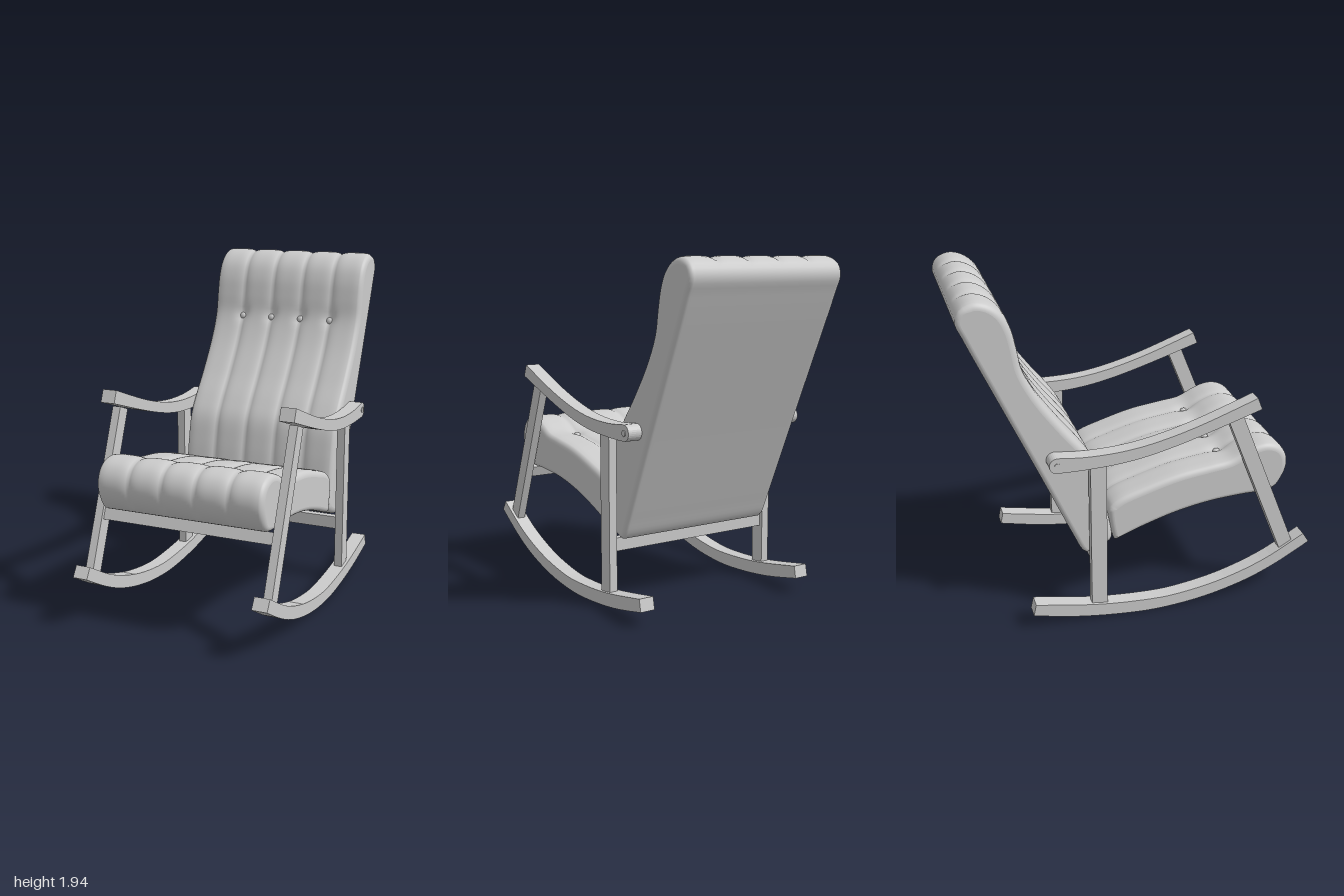
import * as THREE from 'three';

const mat = new THREE.MeshStandardMaterial({ color: 0xcccccc, side: THREE.DoubleSide });
const V = (p) => new THREE.Vector2(p[0], p[1]);

function add(parent, name, geometry) {
  const mesh = new THREE.Mesh(geometry, mat);
  mesh.name = name;
  parent.add(mesh);
  return mesh;
}

// Side outlines are given as (z, y) pairs and extruded from x0 to x1
function sidePlate(points, x0, x1) {
  const shape = new THREE.Shape(points.map((p) => new THREE.Vector2(-p.x, p.y)));
  const g = new THREE.ExtrudeGeometry(shape, { depth: x1 - x0, bevelEnabled: false });
  return g.rotateY(Math.PI / 2).translate(x0, 0, 0);
}
const spline = (pts, n = 28) => new THREE.SplineCurve(pts.map(V)).getPoints(n);

// Cushion: a closed side profile swept across x, with rounded ends, stitched channels and button dimples
const HALF = 0.492, ROUND = 0.026, CHANNEL = HALF * 2 / 5;
function cushion(name, pts, padDir, button) {
  const group = new THREE.Group();
  group.name = name;
  const curve = new THREE.CatmullRomCurve3(pts.map((p) => new THREE.Vector3(0, p[1], p[0])), true, 'centripetal');
  const N = 140, ring = [];
  for (let j = 0; j < N; j++) {
    const p = curve.getPointAt(j / N), t = curve.getTangentAt(j / N);
    const nz = -t.y, ny = t.z;
    const pad = THREE.MathUtils.smoothstep(nz * padDir[0] + ny * padDir[1], -0.45, 0.1);
    ring.push({ z: p.z, y: p.y, nz, ny, pad, near: Math.hypot(p.z - button[0], p.y - button[1]) });
  }
  // stations across the width: rounded ends plus even steps
  const xs = [];
  for (let k = 0; k <= 6; k++) xs.push([-HALF + ROUND * (1 - Math.sin(k * Math.PI / 12)), ROUND * (1 - Math.cos(k * Math.PI / 12))]);
  xs.reverse();
  const left = xs.map(([x, d]) => [x, d]).sort((a, b) => a[0] - b[0]);
  const mid = [], inner = HALF - ROUND;
  for (let c = 0; c < 5; c++) {
    for (let k = 0; k < 14; k++) {
      const x = -HALF + (c + k / 14) * CHANNEL;
      if (Math.abs(x) < inner - 0.003) mid.push([x, 0]);
    }
  }
  const stations = [...left, ...mid, ...left.map(([x, d]) => [-x, d]).reverse()];
  const seams = [-1.5, -0.5, 0.5, 1.5].map((s) => s * CHANNEL);
  const offset = (x, d, r) => {
    const t = 2 * Math.abs(((x + HALF) / CHANNEL) % 1 - 0.5);
    let inset = d;
    if (Math.abs(x) < HALF - 0.001) inset += r.pad * 0.014 * t ** 4;
    else inset += r.pad * 0.014;
    for (const s of seams) inset += 0.014 * r.pad * Math.exp(-((x - s) ** 2 + r.near ** 2) / 0.0016);
    return [r.z - r.nz * inset, r.y - r.ny * inset];
  };
  const pos = [], idx = [];
  stations.forEach(([x, d], i) => {
    ring.forEach((r, j) => {
      const [z, y] = offset(x, d, r);
      pos.push(x, y, z);
      if (i < stations.length - 1) {
        const a = i * N + j, b = i * N + (j + 1) % N;
        idx.push(a, b, a + N, a + N, b, b + N);
      }
    });
  });
  const g = new THREE.BufferGeometry();
  g.setAttribute('position', new THREE.Float32BufferAttribute(pos, 3));
  g.setIndex(idx);
  g.computeVertexNormals();
  add(group, name + 'Cover', g);

  // flat side panels
  for (const s of [-1, 1]) {
    const edge = ring.map((r) => offset(s * HALF, ROUND, r));
    const panel = new THREE.ShapeGeometry(new THREE.Shape(edge.map(([z, y]) => new THREE.Vector2(-s * z, y))));
    add(group, name + 'SidePanel', panel.rotateY(s * Math.PI / 2).translate(s * HALF, 0, 0));
  }

  // buttons sunk into the seams
  const near = ring.reduce((a, b) => (a.near < b.near ? a : b));
  for (const s of seams) {
    const b = add(group, name + 'Button', new THREE.SphereGeometry(0.02, 20, 12).scale(1, 1, 0.6));
    b.position.set(s, near.y - near.ny * 0.02, near.z - near.nz * 0.02);
    b.rotation.x = -Math.atan2(near.ny, near.nz);
  }
  return group;
}

export function createModel() {
  const model = new THREE.Group();
  model.name = 'rockingChair';

  // Upholstery
  model.add(cushion('seat', [
    [-0.203, 0.62], [-0.198, 0.672], [-0.15, 0.712], [0, 0.765], [0.2, 0.82], [0.4, 0.85], [0.52, 0.868],
    [0.61, 0.912], [0.68, 0.937], [0.75, 0.942], [0.82, 0.915], [0.862, 0.86], [0.873, 0.79], [0.85, 0.715],
    [0.8, 0.656], [0.73, 0.634], [0.6, 0.63], [0.4, 0.615], [0.2, 0.578], [0, 0.517], [-0.14, 0.464],
    [-0.172, 0.455], [-0.182, 0.48],
  ], [0.5, 0.87], [0.5, 0.865]));
  model.add(cushion('backrest', [
    [-0.34, 0.397], [-0.365, 0.42], [-0.41, 0.515], [-0.6, 0.945], [-0.8, 1.39], [-0.96, 1.75], [-0.995, 1.84],
    [-0.975, 1.9], [-0.93, 1.935], [-0.88, 1.943], [-0.81, 1.92], [-0.75, 1.865], [-0.71, 1.78], [-0.685, 1.67],
    [-0.662, 1.55], [-0.59, 1.4], [-0.46, 1.21], [-0.34, 1.055], [-0.275, 0.95], [-0.235, 0.8],
    [-0.205, 0.62], [-0.185, 0.475], [-0.2, 0.447], [-0.26, 0.417],
  ], [0.9, 0.43], [-0.662, 1.55]));

  // Frame sides, mirrored
  for (const s of [-1, 1]) {
    const side = new THREE.Group();
    side.name = s > 0 ? 'leftFrame' : 'rightFrame';
    model.add(side);
    const plate = (name, pts, a, b) => add(side, name, sidePlate(pts, Math.min(s * a, s * b), Math.max(s * a, s * b)));

    plate('rocker', [
      ...spline([[0.962, 0.36], [0.72, 0.225], [0.46, 0.132], [0.2, 0.083], [0, 0.075], [-0.3, 0.097], [-0.66, 0.16]]),
      ...spline([[-0.675, 0.09], [-0.4, 0.034], [-0.12, 0.004], [0.1, 0.002], [0.35, 0.032], [0.6, 0.098], [0.8, 0.185], [1, 0.3]]),
    ], 0.488, 0.575);

    const tip = new THREE.EllipseCurve(-0.515, 1.023, 0.045, 0.045, Math.PI / 2, Math.PI * 1.5).getPoints(14);
    plate('armrest', [
      ...spline([[0.622, 1.28], [0.3, 1.162], [0.05, 1.092], [-0.15, 1.06], [-0.35, 1.054], [-0.5, 1.067]]),
      ...tip,
      ...spline([[-0.5, 0.978], [-0.35, 0.978], [-0.15, 0.99], [0.05, 1.025], [0.3, 1.095], [0.65, 1.21]]),
    ], 0.49, 0.575);

    plate('frontLeg', [[0.897, 0.315], [0.82, 0.272], [0.468, 1.14], [0.55, 1.17]].map(V), 0.51, 0.558);
    plate('backLeg', [[-0.238, 0.085], [-0.33, 0.095], [-0.33, 1.0], [-0.238, 1.0]].map(V), 0.51, 0.558);

    const bolt = add(side, 'armBolt', new THREE.CylinderGeometry(0.017, 0.017, 0.11, 20).rotateZ(Math.PI / 2));
    bolt.position.set(s * 0.525, 1.022, -0.515);
  }

  // Crossbars between the legs
  const front = add(model, 'frontCrossbar', new THREE.BoxGeometry(1.03, 0.068, 0.04));
  front.position.set(0, 0.597, 0.738);
  front.rotation.x = -0.38;
  const back = add(model, 'backCrossbar', new THREE.BoxGeometry(1.03, 0.075, 0.045));
  back.position.set(0, 0.36, -0.285);
  return model;
}
